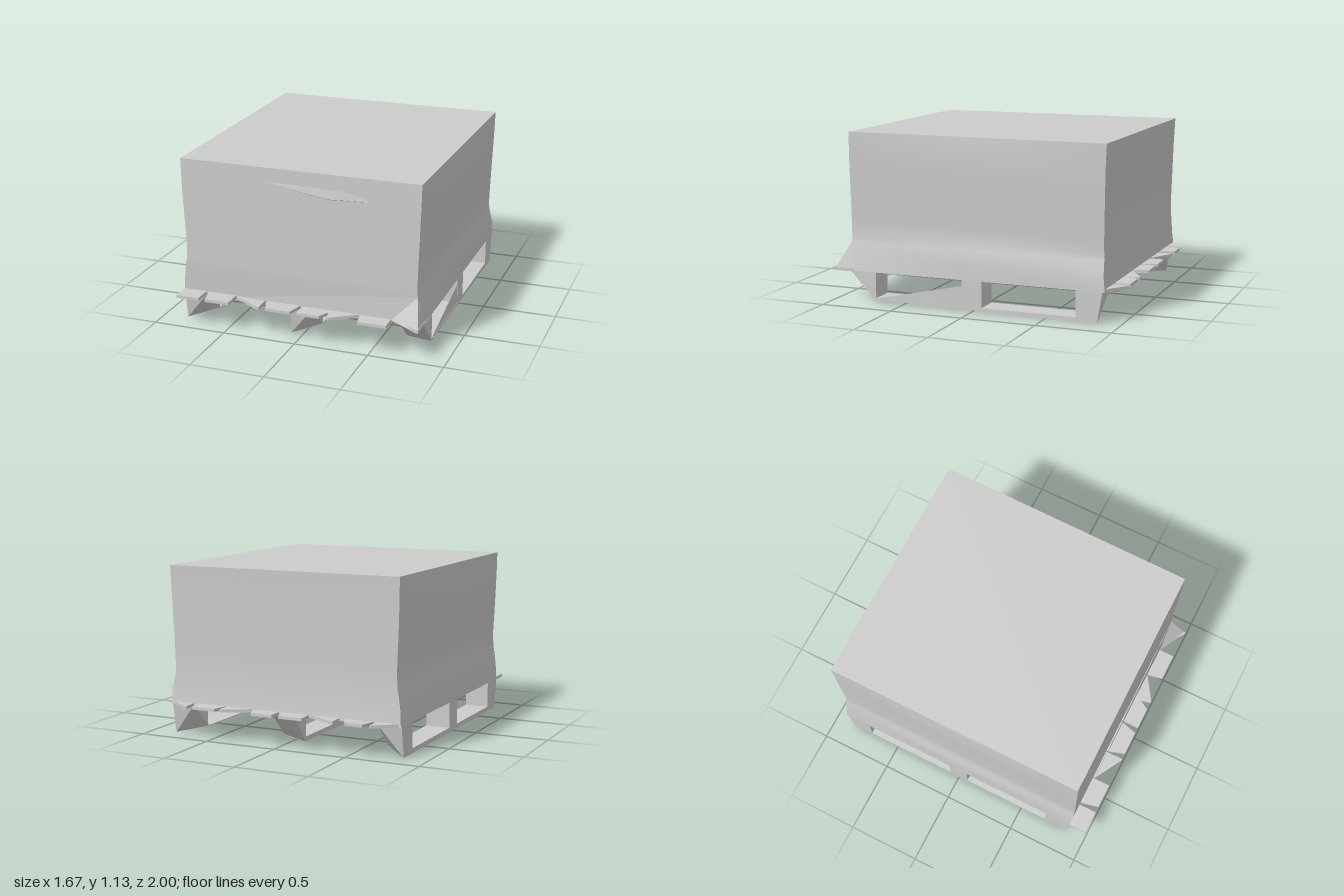
import * as THREE from 'three';
import { ConvexGeometry } from 'three/addons/geometries/ConvexGeometry.js';

export function createModel() {
  const model = new THREE.Group();
  const grey = new THREE.MeshStandardMaterial({ name: 'wrapGrey', color: 0xcccccc, side: THREE.DoubleSide });

  const add = (name, geometry) => {
    const mesh = new THREE.Mesh(geometry, grey);
    mesh.name = name;
    model.add(mesh);
    return mesh;
  };
  const hull = (name, pts) => add(name, new ConvexGeometry(pts.map(p => new THREE.Vector3(...p))));

  // Triangles fanned from a list of corners
  const fan = (name, pts) => {
    const pos = [];
    for (let i = 1; i < pts.length - 1; i++) pos.push(...pts[0], ...pts[i], ...pts[i + 1]);
    const g = new THREE.BufferGeometry();
    g.setAttribute('position', new THREE.Float32BufferAttribute(pos, 3));
    g.computeVertexNormals();
    return add(name, g);
  };

  // Wrapped load: y, left x, right x, back z, front z, side bulge
  const rings = [
    [1.135, -0.822, 0.806, -0.90, 0.885, 0],
    [0.98, -0.818, 0.803, -0.893, 0.888, 0.014],
    [0.80, -0.812, 0.797, -0.889, 0.886, 0.008],
    [0.53, -0.800, 0.788, -0.884, 0.884, 0.002],
    [0.44, -0.806, 0.786, -0.885, 0.884, 0.008],
    [0.40, -0.814, 0.790, -0.887, 0.885, 0.018],
    [0.30, -0.828, 0.812, -0.890, 0.878, 0.008],
    [0.205, -0.835, 0.828, -0.900, 0.872, 0],
  ];
  const cols = 8;
  const corners = ([y, l, r, b, f]) => [[l, y, f], [r, y, f], [Math.min(r + 0.015, 0.83), y, b], [l, y, b]];
  ['Front', 'Left', 'Back', 'Right'].forEach((side, s) => {
    const pos = [], index = [];
    rings.forEach((ring, j) => {
      const a = corners(ring)[s], c = corners(ring)[(s + 1) % 4];
      for (let i = 0; i <= cols; i++) {
        const t = i / cols;
        const out = s % 2 ? ring[5] * Math.sin(Math.PI * t) * (s === 1 ? 1 : -1) : 0;
        pos.push(a[0] + (c[0] - a[0]) * t + out, a[1], a[2] + (c[2] - a[2]) * t);
        if (j && i) {
          const d = j * (cols + 1) + i, u = d - cols - 1;
          index.push(u - 1, d - 1, d, u - 1, d, u);
        }
      }
    });
    const g = new THREE.BufferGeometry();
    g.setAttribute('position', new THREE.Float32BufferAttribute(pos, 3));
    g.setIndex(index);
    g.computeVertexNormals();
    add('wrap' + side, g);
  });
  fan('wrapTop', corners(rings[0]));
  fan('wrapBottom', corners(rings[7]).reverse());

  // Loose wrap flaring out at the front left corner
  fan('wrapFlare', [[0.79, 0.395, 0.886], [-0.46, 0.22, 0.886], [0.62, 0.215, 0.892], [0.83, 0.205, 1]]);
  fan('wrapFlareSide', [[0.79, 0.395, 0.886], [0.83, 0.205, 1], [0.83, 0.205, 0.85]]);

  // Crumpled fold near the top of the front
  hull('wrapFold', [[-0.26, 1.04, 0.8875], [0.2, 0.975, 0.896], [0.5, 0.985, 0.889], [0.3, 1.04, 0.886], [0.2, 0.967, 0.884]]);

  // Splintered deck board ends: base x0, x1, tip x0, x1
  const ends = {
    Front: [[-0.835, -0.675, -0.835, -0.675], [-0.655, -0.46, -0.63, -0.46], [-0.45, -0.245, -0.255, -0.245],
      [-0.235, 0, -0.2, -0.03], [0.015, 0.23, 0.015, 0.17], [0.2, 0.41, 0.225, 0.24], [0.41, 0.62, 0.43, 0.62],
      [0.655, 0.83, 0.815, 0.83]],
    Back: [[-0.83, -0.67, -0.68, -0.67], [-0.655, -0.44, -0.62, -0.5], [-0.415, -0.2, -0.415, -0.4],
      [-0.2, 0, -0.2, -0.03], [0.015, 0.2, 0.015, 0.17], [0.2, 0.41, 0.385, 0.4], [0.41, 0.62, 0.44, 0.61],
      [0.655, 0.82, 0.65, 0.665]],
  };
  for (const [side, list] of Object.entries(ends)) {
    const k = side === 'Front' ? 1 : -1;
    for (const [a, b, c, d] of list) {
      const shape = new THREE.Shape([[a, 0.85 * k], [a, 0.89 * k], [c, k], [d, k], [b, 0.89 * k], [b, 0.85 * k]]
        .map(p => new THREE.Vector2(...p)));
      const g = new THREE.ExtrudeGeometry(shape, { depth: 0.02, bevelEnabled: false });
      add('boardEnd' + side, g.rotateX(Math.PI / 2).translate(0, 0.222, 0));
    }
  }

  // Cross boards under the deck, as one profile run across the width
  const profile = [[0.86, 0.204], [0.7, 0.165], [0.69, 0.185], [0.07, 0.165],
    [-0.07, 0.165], [-0.68, 0.19], [-0.7, 0.165], [-0.86, 0.204]];
  const under = new THREE.ExtrudeGeometry(new THREE.Shape(profile.map(([z, y]) => new THREE.Vector2(-z, y))),
    { depth: 1.33, bevelEnabled: false });
  add('crossBoards', under.rotateY(Math.PI / 2).translate(-0.665, 0, 0));

  // Skids: low and high edge x, front z and back z at each edge, front height of the low edge
  const skids = [
    { lo: -0.835, hi: -0.67, front: [0.84, 0.69], back: [-0.85, -0.71], rise: 0 },
    { lo: -0.082, hi: 0.08, front: [0.84, 0.70], back: [-0.72, -0.71], rise: 0 },
    { lo: 0.83, hi: 0.665, front: [0.70, 0.69], back: [-0.85, -0.71], rise: 0.02 },
  ];
  for (const { lo, hi, front, back, rise } of skids) {
    hull('skid', [[front, rise], [back, 0]].flatMap(([z, y]) =>
      [[lo, y, z[0]], [hi, 0.026, z[1]], [hi, 0.032, z[1]], [lo, 0.032, z[0]]]));
    // Blocks slope in from the deck to the skid ends
    const blocks = [
      { outer: front, inner: 0.69, top: 0.875, y: rise },
      { outer: [0.07, 0.07], inner: -0.07, top: 0.07, y: 0.01 },
      { outer: back, inner: -0.71, top: -0.885, y: 0 },
    ];
    for (const { outer, inner, top, y } of blocks) {
      hull('block', [[lo, y, outer[0]], [lo, 0.03, inner], [hi, 0.03, outer[1]], [hi, 0.03, inner],
        [lo, 0.205, top], [lo, 0.205, inner], [hi, 0.205, top], [hi, 0.205, inner]]);
    }
  }

  // Torn wrap across the front opening on the left side
  fan('tornWrap', [[0.828, 0.03, 0.69], [0.828, 0.03, 0.06], [0.828, 0.168, 0.06]]);

  return model;
}
